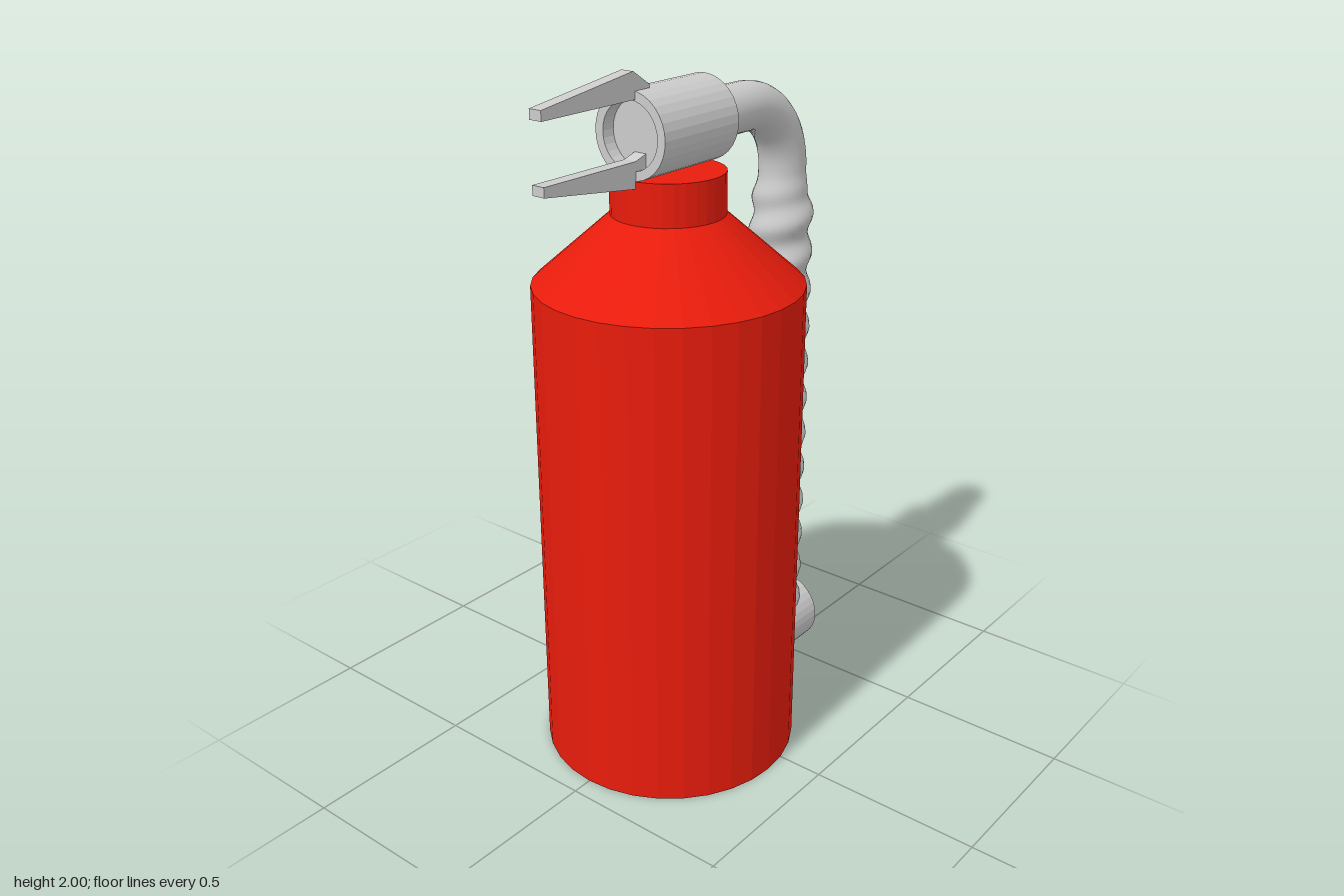
import * as THREE from 'three';

const red = new THREE.MeshStandardMaterial({ color: 0xe81c0c, flatShading: true });
const grey = new THREE.MeshStandardMaterial({ color: 0xcccccc, flatShading: true });
const smoothGrey = new THREE.MeshStandardMaterial({ color: 0xcccccc });

const BODY_X = -0.07, VALVE_Y = 1.838, HOSE_X = 0.445, BEND = 0.2;

function add(group, name, geometry, material, x = 0, y = 0, z = 0) {
  const mesh = new THREE.Mesh(geometry, material);
  mesh.name = name;
  mesh.position.set(x, y, z);
  group.add(mesh);
  return mesh;
}

function lathe(points, sides) {
  return new THREE.LatheGeometry(points.map(([r, y]) => new THREE.Vector2(r, y)), sides);
}

// Hose: circular sections swept along a planar path, with a helical ridge on the straight drop
function hoseGeometry() {
  const stations = [];
  const bendX = HOSE_X - BEND, bendY = VALVE_Y - BEND;
  for (const x of [0.02, 0.08, 0.16]) stations.push({ x, y: VALVE_Y, a: 0, r: 0.069 });
  for (let i = 0; i <= 14; i++) {
    const a = (i / 14) * Math.PI / 2;
    stations.push({ x: bendX + BEND * Math.sin(a), y: bendY + BEND * Math.cos(a), a, r: 0.069 });
  }
  const steps = 150, bottom = 0.12;
  for (let i = 1; i <= steps; i++) {
    const y = bendY + (bottom - bendY) * i / steps;
    const k = THREE.MathUtils.smoothstep(bendY - y, 0.01, 0.13);
    stations.push({ x: HOSE_X, y, a: Math.PI / 2, r: 0.069 + 0.018 * k, ridge: 0.008 * k });
  }
  const sides = 24, pos = [], index = [];
  stations.forEach(({ x, y, a, r, ridge = 0 }, i) => {
    for (let j = 0; j < sides; j++) {
      const t = (j / sides) * Math.PI * 2;
      const rad = r + ridge * Math.cos(t + (y * Math.PI * 2) / 0.117);
      const u = rad * Math.cos(t);
      pos.push(x + u * Math.sin(a), y + u * Math.cos(a), rad * Math.sin(t));
      if (i > 0) {
        const n = (j + 1) % sides, p = (i - 1) * sides, q = i * sides;
        index.push(p + j, p + n, q + j, p + n, q + n, q + j);
      }
    }
  });
  const g = new THREE.BufferGeometry();
  g.setAttribute('position', new THREE.Float32BufferAttribute(pos, 3));
  g.setIndex(index);
  g.computeVertexNormals();
  return g;
}

// Tapered lever plate; side = 1 for the upper one, -1 for the mirrored lower one
function leverGeometry(side) {
  const outline = [[-0.55, 0.077], [-0.22, 0.077], [-0.165, 0.06], [-0.165, 0.108], [-0.225, 0.147], [-0.55, 0.103]];
  const shape = new THREE.Shape(outline.map(([x, y]) => new THREE.Vector2(x, 1.853 + side * y)));
  return new THREE.ExtrudeGeometry(shape, { depth: 0.038, bevelEnabled: false }).translate(0, 0, -0.019);
}

export function createModel() {
  const model = new THREE.Group();
  model.name = 'fireExtinguisher';

  // Tank with sloped shoulder and neck
  add(model, 'tank', lathe([[0, 0], [0.37, 0], [0.37, 1.42], [0.155, 1.61], [0.155, 1.725], [0, 1.725]], 32),
    red, BODY_X);

  // Valve barrel with recessed ends
  const valve = add(model, 'valve', lathe([
    [0, -0.11], [0.09, -0.11], [0.09, -0.15], [0.115, -0.15],
    [0.115, 0.15], [0.09, 0.15], [0.09, 0.11], [0, 0.11],
  ], 32), grey, BODY_X, VALVE_Y);
  valve.rotation.z = -Math.PI / 2;

  // Squeeze levers
  add(model, 'upperLever', leverGeometry(1), grey);
  add(model, 'lowerLever', leverGeometry(-1), grey);

  // Hose and nozzle
  add(model, 'hose', hoseGeometry(), smoothGrey);
  const nozzle = add(model, 'nozzle', new THREE.CylinderGeometry(0.112, 0.112, 0.275, 32), grey, 0.408, 0.133);
  nozzle.rotation.z = -Math.PI / 2;

  return model;
}
